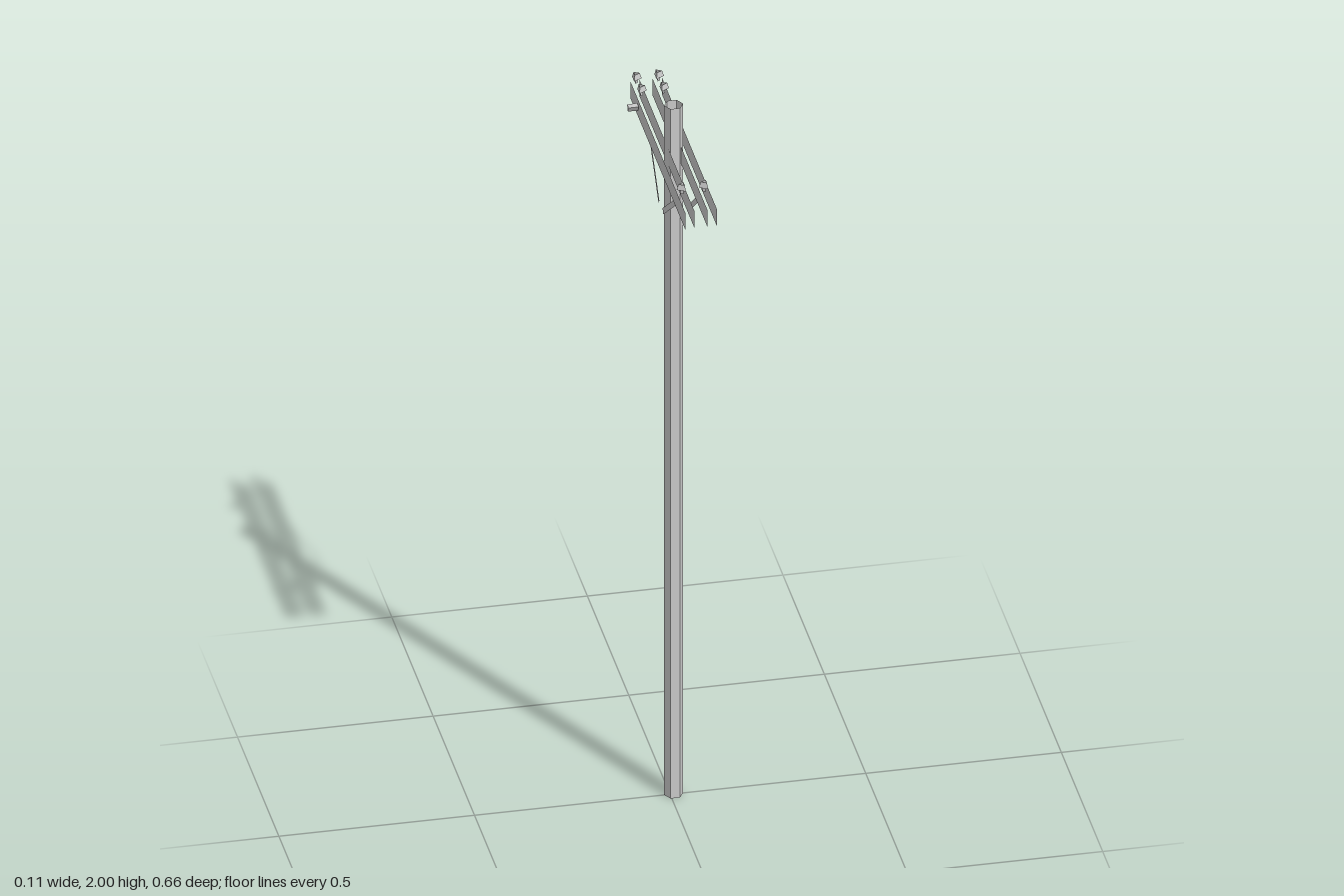
import * as THREE from 'three';

const material = new THREE.MeshStandardMaterial({ color: 0xcccccc, flatShading: true, side: THREE.DoubleSide });
const CENTRE = 0.009; // x of the pole axis
const ARM = 0.0285; // distance of each crossarm from the axis
const ARM_BOTTOM = 1.833, ARM_TOP = 1.882;

function add(parent, name, geometry, x = 0, y = 0, z = 0) {
  const mesh = new THREE.Mesh(geometry, material);
  mesh.name = name;
  mesh.position.set(x, y, z);
  parent.add(mesh);
  return mesh;
}

// Open three-sided bell; pointing is the x direction of one corner
function bell(pointing) {
  const profile = [[0.0045, -0.012], [0.0045, 0], [0.0145, 0], [0.0105, 0.012], [0.0095, 0.016]];
  const geometry = new THREE.LatheGeometry(profile.map(([r, y]) => new THREE.Vector2(r, y)), 3);
  // Leave the underside open between stem and skirt
  const kept = [];
  const p = geometry.attributes.position, index = geometry.index.array;
  for (let i = 0; i < index.length; i += 3) {
    const corners = [index[i], index[i + 1], index[i + 2]];
    if (!corners.every((c) => Math.abs(p.getY(c)) < 1e-6)) kept.push(...corners);
  }
  geometry.setIndex(kept);
  return geometry.rotateY(pointing * Math.PI / 2);
}

// Thin flat strip between two points, standing on edge
function strip(from, to, width) {
  const along = to.clone().sub(from);
  const length = along.length();
  along.normalize();
  const normal = new THREE.Vector3(1, 0, 0).addScaledVector(along, -along.x).normalize();
  const across = normal.clone().cross(along);
  const middle = from.clone().add(to).multiplyScalar(0.5);
  return new THREE.PlaneGeometry(length, width).applyMatrix4(
    new THREE.Matrix4().makeBasis(along, across, normal).setPosition(middle));
}

export function createModel() {
  const model = new THREE.Group();
  model.name = 'utilityPole';

  // Hexagonal pole, open at both ends
  add(model, 'pole', new THREE.CylinderGeometry(0.024, 0.024, 2, 6, 1, true).rotateY(Math.PI / 2), CENTRE, 1, 0);

  for (const side of [-1, 1]) {
    const armX = CENTRE + side * ARM;
    const half = new THREE.Group();
    half.name = side > 0 ? 'leftCrossarm' : 'rightCrossarm';
    model.add(half);

    // Crossarm: inner and outer board
    for (const face of [-1, 1]) {
      add(half, 'crossarmBoard',
        new THREE.PlaneGeometry(0.664, ARM_TOP - ARM_BOTTOM).rotateY(face * Math.PI / 2),
        armX + face * 0.012, (ARM_TOP + ARM_BOTTOM) / 2, 0);
    }

    // Diagonal braces down to the pole
    for (const end of [-1, 1]) {
      add(half, 'brace', strip(
        new THREE.Vector3(CENTRE + side * 0.0325, 1.708, end * 0.024),
        new THREE.Vector3(CENTRE + side * 0.0255, 1.834, end * 0.186), 0.016));
    }

    // Upright insulators
    for (const z of [-0.32, -0.258, 0.238]) {
      add(half, 'insulator', bell(z < 0 ? 1 : -1), armX, ARM_TOP + 0.012, z);
    }
  }

  // Sideways insulator on the right crossarm, flat side up
  const sideways = new THREE.CylinderGeometry(0.0115, 0.01, 0.026, 3, 1, true)
    .rotateY(Math.PI / 2).rotateZ(-Math.PI / 2);
  add(model, 'sideInsulator', sideways, -0.047, 1.867, -0.228);

  return model;
}
